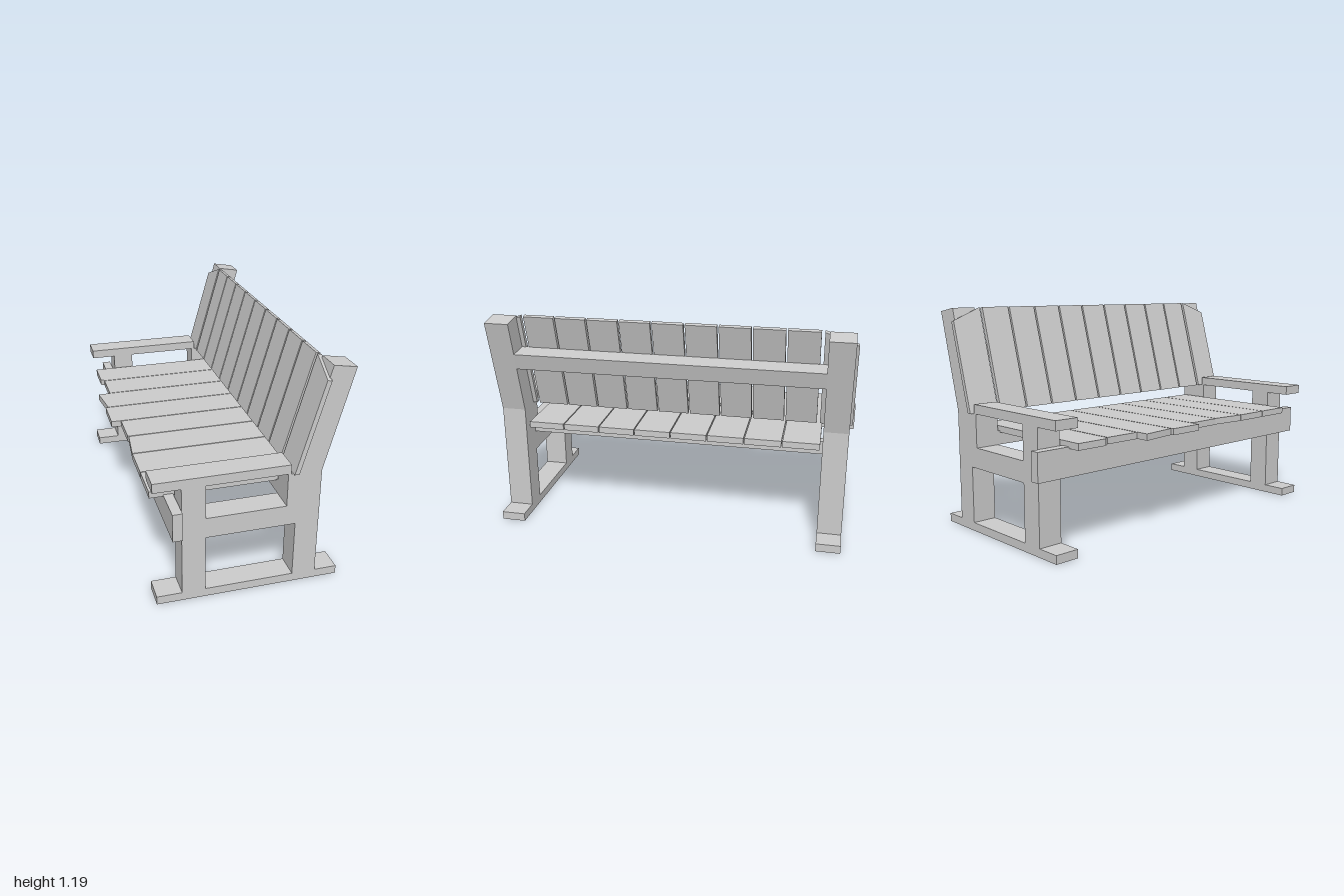
import * as THREE from 'three';

const material = new THREE.MeshStandardMaterial({ color: 0xcccccc, flatShading: true });

function addMesh(parent, name, geometry) {
  const mesh = new THREE.Mesh(geometry, material);
  mesh.name = name;
  parent.add(mesh);
  return mesh;
}

// Box given by its min and max along each axis
function addBox(parent, name, [x0, x1], [y0, y1], [z0, z1]) {
  const box = new THREE.BoxGeometry(x1 - x0, y1 - y0, z1 - z0);
  box.translate((x0 + x1) / 2, (y0 + y1) / 2, (z0 + z1) / 2);
  return addMesh(parent, name, box);
}

// Outline of [x, y] points extruded along z
function extrude(points, depth) {
  const shape = new THREE.Shape(points.map(([x, y]) => new THREE.Vector2(x, y)));
  return new THREE.ExtrudeGeometry(shape, { depth, bevelEnabled: false });
}

// Leaning front face of the backrest: x at height y
const LEAN = 0.282;
const backX = (y) => 0.22 + LEAN * (y - 0.64);

// Backrest plank: upright box sheared to the lean, with its two top corners at given heights
function backPlank(z0, z1, top0, top1) {
  const g = new THREE.BoxGeometry(1, 1, 1);
  const p = g.attributes.position;
  for (let i = 0; i < p.count; i++) {
    const back = p.getX(i) > 0;
    const far = p.getZ(i) > 0;
    const y = p.getY(i) > 0 ? (far ? top1 : top0) - (back ? 0.006 : 0) : 0.64;
    p.setXYZ(i, backX(y) + (back ? 0.025 : 0), y, far ? z1 : z0);
  }
  g.computeVertexNormals();
  return g;
}

export function createModel() {
  const bench = new THREE.Group();
  bench.name = 'bench';

  // End frames: foot, posts with stretcher, armrest
  const frameOutline = [
    [-0.34, 0.045], [-0.22, 0.045], [-0.22, 0.35], [0.245, 0.35], [0.245, 0.045],
    [0.37, 0.045], [0.37, 0.64], [0.51, 1.165], [0.39, 1.185], [0.245, 0.64],
    [0.245, 0.46], [-0.22, 0.46], [-0.22, 0.64], [-0.34, 0.64],
  ];
  for (const side of [-1, 1]) {
    const end = new THREE.Group();
    end.name = side > 0 ? 'leftEnd' : 'rightEnd';
    const z = side > 0 ? [0.825, 0.957] : [-0.957, -0.825];
    addMesh(end, 'endFrame', extrude(frameOutline, 0.132).translate(0, 0, z[0]));
    addBox(end, 'foot', [-0.47, 0.49], [0, 0.045], z);
    addBox(end, 'armrest', [-0.48, 0.21], [0.64, 0.69], z);
    addBox(end, 'armrestBlock', [0.195, 0.245], [0.46, 0.64], z);
    // Outer backrest plank with a slanted top
    const plank = side > 0 ? backPlank(0.802, 0.974, 1.187, 1.12) : backPlank(-0.974, -0.802, 1.12, 1.187);
    addMesh(end, 'endBackPlank', plank);
    bench.add(end);
  }

  // Long rails
  addBox(bench, 'frontRail', [-0.395, -0.345], [0.385, 0.535], [-1, 1]);
  addBox(bench, 'rearSeatRail', [0.195, 0.245], [0.46, 0.535], [-0.825, 0.825]);
  const backRail = [[0.439, 0.9], [0.463, 0.988], [0.342, 1.0], [0.318, 0.915]];
  addMesh(bench, 'backRail', extrude(backRail, 1.65).translate(0, 0, -0.825));

  // Backrest planks
  for (let i = -4; i <= 4; i++) {
    const z = i * 0.1755;
    addMesh(bench, 'backPlank', backPlank(z - 0.083, z + 0.083, 1.187, 1.187));
  }

  // Seat planks with uneven front ends: x at both front corners
  const fronts = [
    [-0.465, -0.465], [-0.445, -0.445], [-0.515, -0.49], [-0.505, -0.505],
    [-0.45, -0.45], [-0.445, -0.465], [-0.465, -0.465], [-0.465, -0.465],
  ];
  fronts.forEach(([a, b], i) => {
    const z0 = -0.812 + i * 0.2035;
    const z1 = z0 + 0.198;
    // The first plank has a clipped corner
    const corner = i === 0 ? [[b, z1 - 0.022], [b + 0.02, z1 - 0.006], [b + 0.02, z1]] : [[b, z1]];
    // Drawn in the x, -z plane, then laid flat
    const outline = [[a, z0], ...corner, [0.35, z1], [0.35, z0]].map(([x, z]) => [x, -z]);
    const plank = extrude(outline, 0.035).rotateX(-Math.PI / 2).translate(0, 0.526, 0);
    addMesh(bench, 'seatPlank', plank);
  });

  return bench;
}
